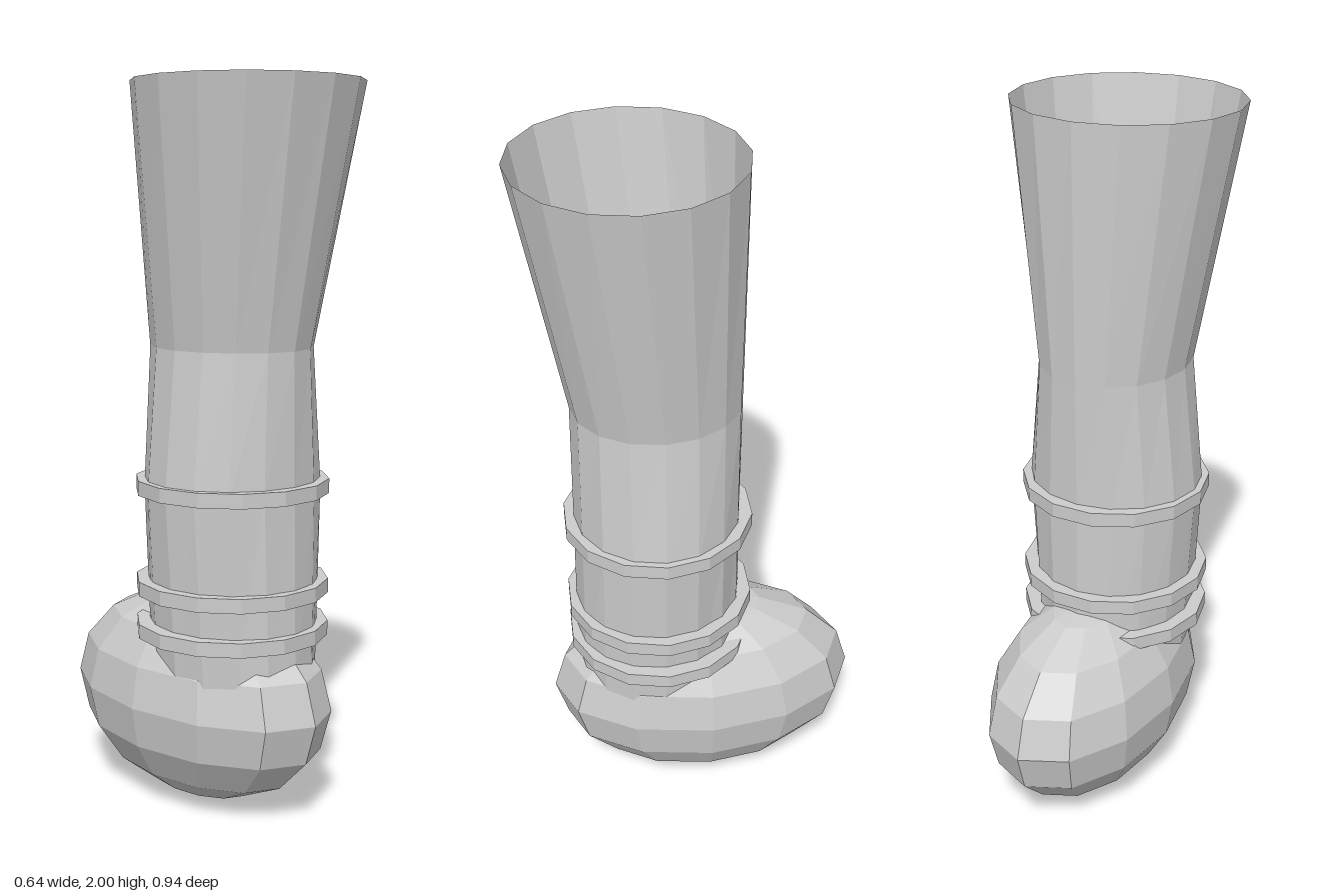
import * as THREE from 'three';

const grey = new THREE.MeshStandardMaterial({ color: 0xcccccc, flatShading: true, side: THREE.DoubleSide });
grey.name = 'plain grey';

// Leg cross-sections from the open top down: [y, x radius, z radius, z centre]
const LEG_SECTIONS = [
  [2.0, 0.318, 0.305, 0.165],
  [1.3, 0.21, 0.235, 0.105],
  [0.92, 0.25, 0.235, 0.11],
  [0.38, 0.217, 0.24, 0.115],
];

function part(name, geometry) {
  const mesh = new THREE.Mesh(geometry, grey);
  mesh.name = name;
  return mesh;
}

// Open tube whose rows follow the given elliptical sections
function sectionTube(sections, sides) {
  const geometry = new THREE.CylinderGeometry(1, 1, 1, sides, sections.length - 1, true);
  const pos = geometry.attributes.position;
  for (let i = 0; i < pos.count; i++) {
    const [y, rx, rz, cz] = sections[Math.floor(i / (sides + 1))];
    pos.setXYZ(i, pos.getX(i) * rx, y, pos.getZ(i) * rz + cz);
  }
  geometry.computeVertexNormals();
  return geometry;
}

export function createModel() {
  const model = new THREE.Group();
  model.name = 'boot';

  // Flared, open-topped leg
  model.add(part('leg', sectionTube(LEG_SECTIONS, 16)));

  // Faceted egg-shaped foot
  const foot = new THREE.SphereGeometry(1, 12, 8);
  foot.scale(0.26, 0.3, 0.45).translate(0, 0.3, -0.02);
  model.add(part('foot', foot));

  // Flat bands around the ankle
  const bands = new THREE.Group();
  bands.name = 'ankleBands';
  for (const y of [0.92, 0.64, 0.52]) {
    const band = part('ankleBand', new THREE.CylinderGeometry(0.268, 0.268, 0.04, 14));
    band.rotation.y = Math.PI / 2;
    band.position.set(0, y, 0.108);
    bands.add(band);
  }
  model.add(bands);

  return model;
}
